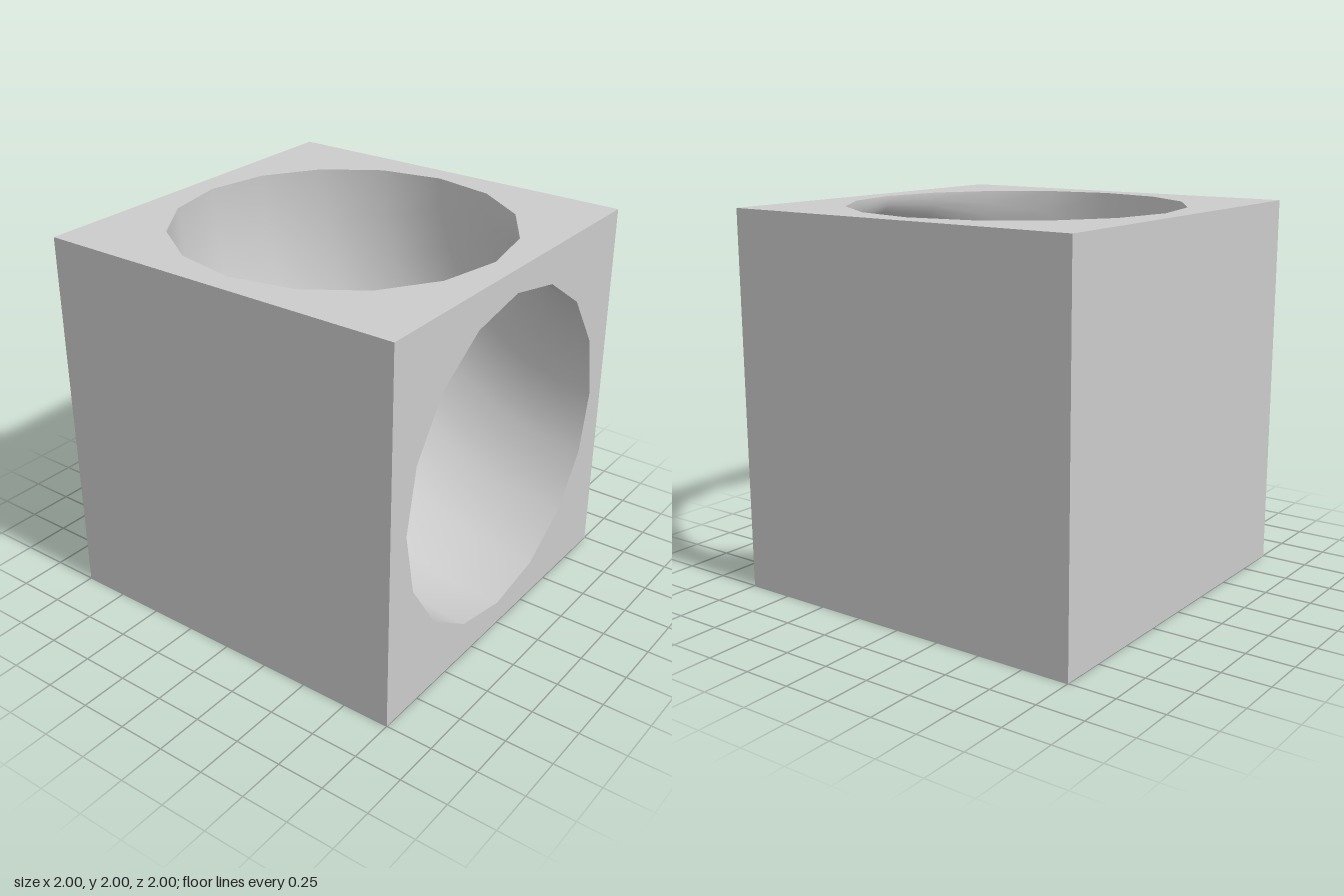
import * as THREE from 'three';

const SIDES = 16;      // sides of the bore
const BORE = 0.875;    // bore radius
const material = new THREE.MeshStandardMaterial({ color: 0xcccccc });

// Square face of the block, with or without the round opening, facing +z
function faceGeometry(open) {
  if (!open) return new THREE.PlaneGeometry(2, 2);
  const shape = new THREE.Shape([[-1, -1], [1, -1], [1, 1], [-1, 1]].map(p => new THREE.Vector2(...p)));
  const rim = [];
  for (let i = 0; i < SIDES; i++) {
    const a = -i / SIDES * Math.PI * 2;
    rim.push(new THREE.Vector2(BORE * Math.cos(a), BORE * Math.sin(a)));
  }
  shape.holes.push(new THREE.Path(rim));
  return new THREE.ShapeGeometry(shape);
}

// Turn a geometry inside out so its inner wall is the visible side
function insideOut(geometry) {
  const index = geometry.index;
  for (let i = 0; i < index.count; i += 3) {
    const a = index.getX(i);
    index.setX(i, index.getX(i + 2));
    index.setX(i + 2, a);
  }
  const n = geometry.attributes.normal;
  for (let i = 0; i < n.count; i++) n.setXYZ(i, -n.getX(i), -n.getY(i), -n.getZ(i));
  return geometry;
}

export function createModel() {
  const group = new THREE.Group();
  group.name = 'elbowBlock';

  // Six faces of the block: name, x turn, y turn, open
  const q = Math.PI / 2;
  const faces = [
    ['frontFace', 0, 0, true],
    ['topFace', -q, 0, true],
    ['backFace', 0, 2 * q, false],
    ['bottomFace', q, 0, false],
    ['leftFace', 0, q, false],
    ['rightFace', 0, -q, false],
  ];
  for (const [name, rx, ry, open] of faces) {
    const geometry = faceGeometry(open).translate(0, 0, 1).rotateX(rx).rotateY(ry).translate(0, 1, 0);
    const mesh = new THREE.Mesh(geometry, material);
    mesh.name = name;
    group.add(mesh);
  }

  // Quarter-bend bore joining the front opening to the top opening
  const bend = new THREE.TorusGeometry(1, BORE, SIDES, 8, q);
  bend.rotateZ(-q).rotateY(q).translate(0, 2, 1);
  const bore = new THREE.Mesh(insideOut(bend), material);
  bore.name = 'elbowBore';
  group.add(bore);

  return group;
}
